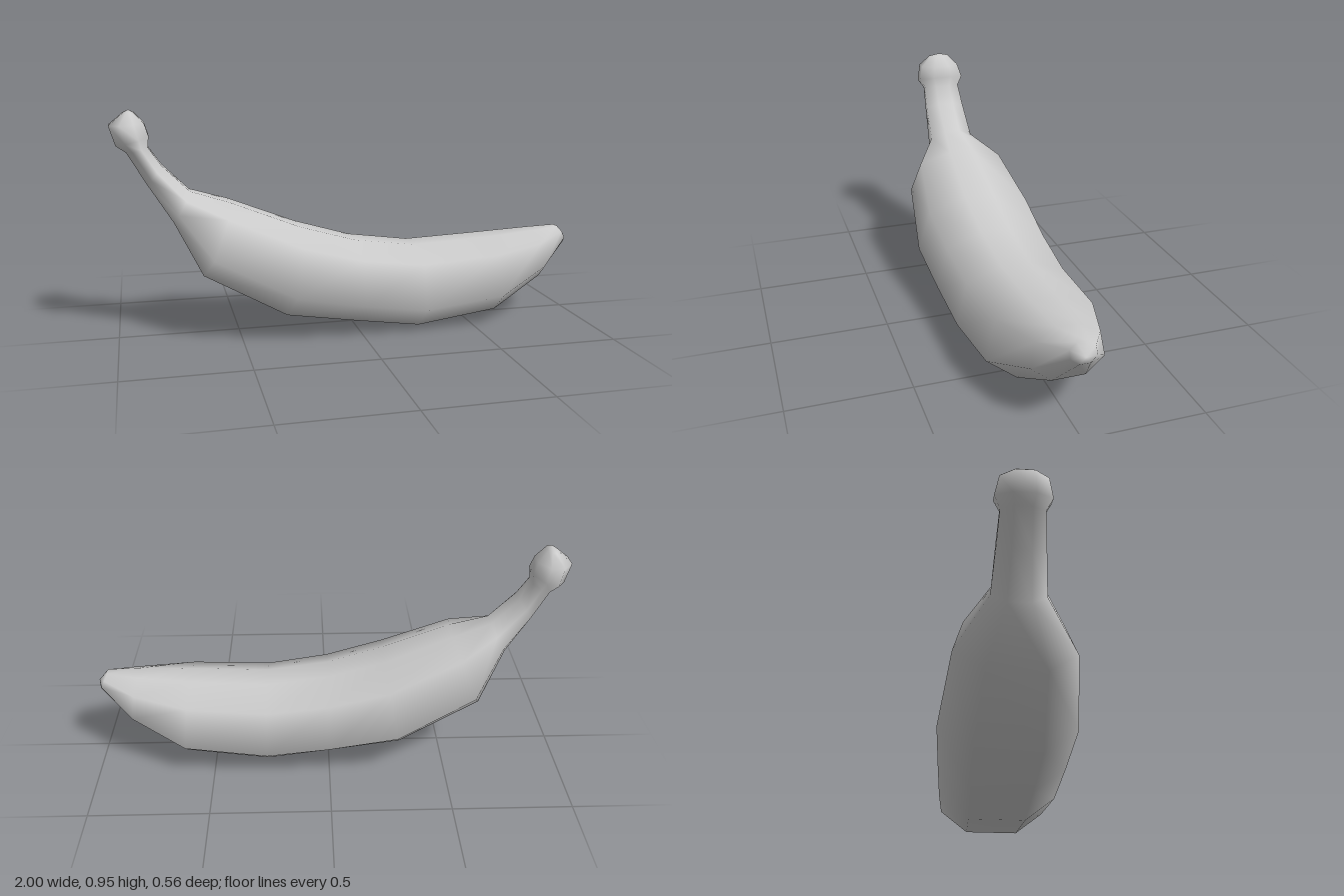
import * as THREE from 'three';

// Half cross-sections as [side, drop]: side is a share of the half width,
// drop runs from the upper edge (0) to the lower edge (1).
const ROUND = [[0.4, 0], [1, 0.3], [1, 0.7], [0.4, 1]];
const FRUIT = [[0.24, 0], [0.83, 0.16], [1, 0.7], [0.49, 1]];

// Rings from stem end to tip: [topX, topY, bottomX, bottomY, halfWidth, fruitBlend]
const RINGS = [
  [-0.90, 0.94, -0.94, 0.94, 0.045, 0],
  [-0.86, 0.895, -1.0, 0.89, 0.09, 0],
  [-0.845, 0.845, -0.975, 0.81, 0.107, 0],
  [-0.85, 0.80, -0.935, 0.78, 0.084, 0],
  [-0.80, 0.725, -0.86, 0.65, 0.092, 0],
  [-0.69, 0.615, -0.76, 0.49, 0.105, 0.3],
  [-0.53, 0.565, -0.65, 0.275, 0.235, 1],
  [-0.24, 0.45, -0.31, 0.09, 0.28, 1],
  [0, 0.38, 0, 0.04, 0.268, 1],
  [0.265, 0.345, 0.27, 0, 0.256, 1],
  [0.60, 0.36, 0.625, 0.045, 0.24, 1],
  [0.83, 0.375, 0.855, 0.17, 0.145, 0.7],
  [0.96, 0.385, 0.993, 0.315, 0.052, 0.2],
];

// Full loop of points around one ring, starting at the upper edge
function ringPoints([tx, ty, bx, by, w, blend]) {
  const half = ROUND.map(([s, d], i) => {
    const side = THREE.MathUtils.lerp(s, FRUIT[i][0], blend) * w;
    const drop = THREE.MathUtils.lerp(d, FRUIT[i][1], blend);
    return [tx + (bx - tx) * drop, ty + (by - ty) * drop, side];
  });
  const mirrored = half.map(([x, y, z]) => [x, y, -z]).reverse();
  return [...half, ...mirrored];
}

// Skin the rings and close both ends with a shared centre point
function loft(rings, startCentre, endCentre) {
  const loops = rings.map(ringPoints);
  const n = loops[0].length;
  const positions = [...loops.flat(), startCentre, endCentre].flat();
  const start = loops.length * n;
  const last = start - n;
  const index = [];
  for (let i = 0; i < n; i++) {
    const j = (i + 1) % n;
    for (let r = 0; r < loops.length - 1; r++) {
      const a = r * n + i, b = r * n + j;
      index.push(a, b, a + n, b, b + n, a + n);
    }
    index.push(start, j, i, start + 1, last + i, last + j);
  }
  const geometry = new THREE.BufferGeometry();
  geometry.setAttribute('position', new THREE.Float32BufferAttribute(positions, 3));
  geometry.setIndex(index);
  geometry.computeVertexNormals();
  return geometry;
}

export function createModel() {
  const model = new THREE.Group();
  model.name = 'banana';
  const material = new THREE.MeshStandardMaterial({ color: 0xcccccc });
  // Stem knob, neck, fruit and tip form one continuous skin
  const peel = new THREE.Mesh(loft(RINGS, [-0.92, 0.95, 0], [1.0, 0.345, 0]), material);
  peel.name = 'peel';
  model.add(peel);
  return model;
}
